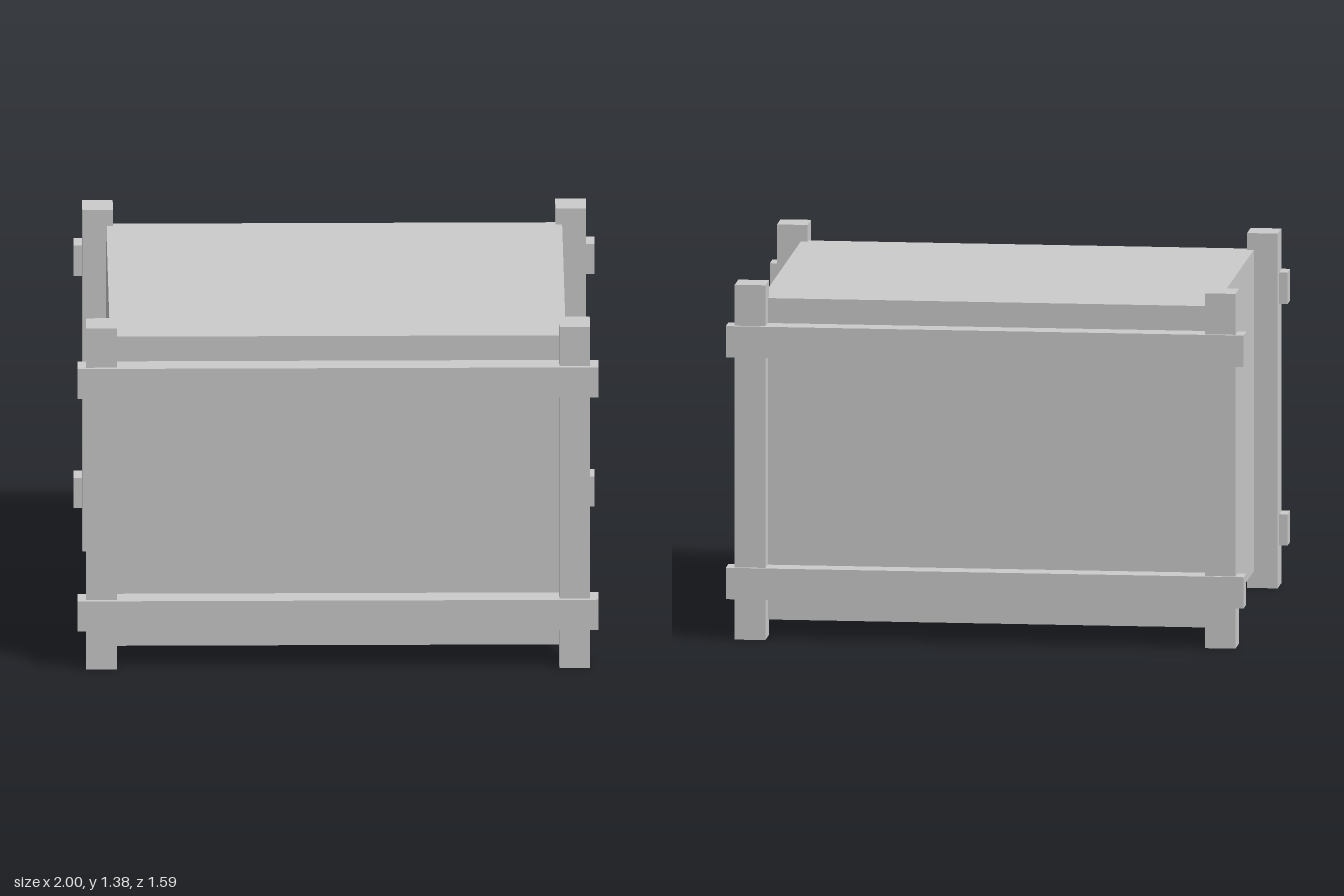
import * as THREE from 'three';

export function createModel() {
  const crate = new THREE.Group();
  crate.name = 'crate';
  const material = new THREE.MeshStandardMaterial({ color: 0xcccccc, flatShading: true });

  const addBox = (name, size, position) => {
    const mesh = new THREE.Mesh(new THREE.BoxGeometry(...size), material);
    mesh.name = name;
    mesh.position.set(...position);
    crate.add(mesh);
  };

  // Main box, raised slightly off the ground
  addBox('body', [1.75, 1.25, 1.376], [0, 0.69, 0]);

  for (const [end, sz] of [['front', 1], ['back', -1]]) {
    // Corner posts
    for (const [side, sx] of [['Left', 1], ['Right', -1]]) {
      addBox(`${end}${side}Post`, [0.118, 1.38, 0.124], [sx * 0.908, 0.69, sz * 0.72]);
    }
    // Horizontal rails across the posts
    for (const [level, y] of [['Lower', 0.22], ['Upper', 1.16]]) {
      addBox(`${end}${level}Rail`, [2, 0.122, 0.092], [0, y, sz * 0.751]);
    }
  }

  return crate;
}
